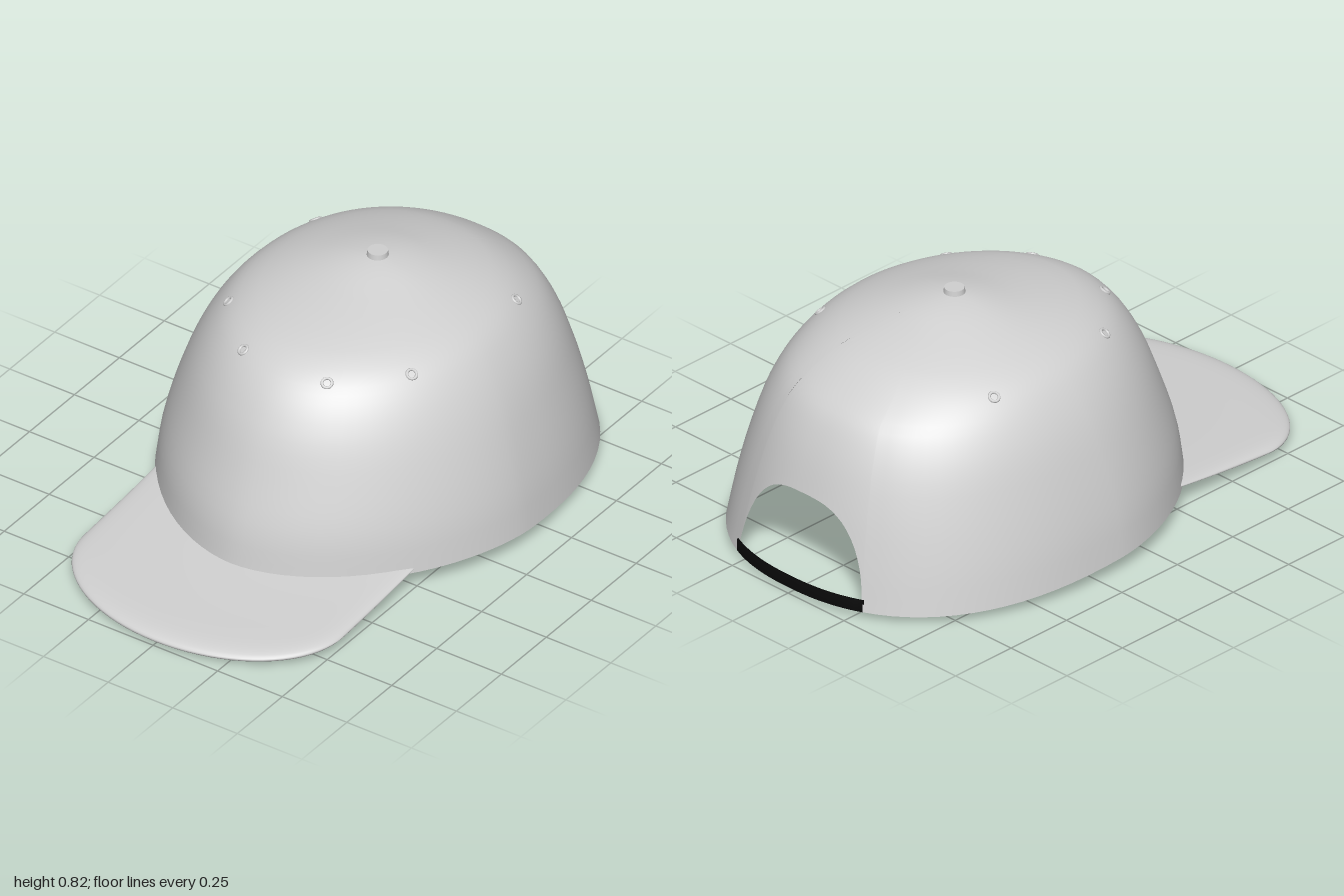
import * as THREE from 'three';
import { mergeVertices } from 'three/addons/utils/BufferGeometryUtils.js';

// Smooth surface from a function of two grid indices
function grid(nu, nv, point) {
  const pos = [], idx = [];
  for (let i = 0; i <= nu; i++) for (let j = 0; j <= nv; j++) pos.push(...point(i, j).toArray());
  for (let i = 0; i < nu; i++) for (let j = 0; j < nv; j++) {
    const a = i * (nv + 1) + j, b = a + nv + 1;
    idx.push(a, a + 1, b, b, a + 1, b + 1);
  }
  let g = new THREE.BufferGeometry();
  g.setAttribute('position', new THREE.Float32BufferAttribute(pos, 3));
  g.setIndex(idx);
  g = mergeVertices(g, 1e-5);
  g.computeVertexNormals();
  return g;
}

// Crown levels: height, half width, front z, back z, centre z
const levels = [
  [0.06, 0.66, 0.57, -1.0, -0.17],
  [0.2, 0.637, 0.545, -0.97, -0.17],
  [0.36, 0.595, 0.49, -0.93, -0.18],
  [0.5, 0.545, 0.435, -0.88, -0.2],
  [0.6, 0.49, 0.375, -0.82, -0.21],
  [0.67, 0.43, 0.305, -0.725, -0.22],
  [0.72, 0.345, 0.2, -0.63, -0.23],
  [0.775, 0.19, -0.06, -0.45, -0.25],
  [0.8, 0.09, -0.17, -0.35, -0.25],
  [0.812, 0, -0.25, -0.25, -0.25],
];
const curve = (a, b, c) => new THREE.CatmullRomCurve3(levels.map(l => new THREE.Vector3(l[a], l[b], l[c])));
const sideCurve = curve(0, 1, 4);
const endCurve = curve(0, 2, 3);

// Point on the crown: phi is the angle from the back, s runs from hem to apex
function crownPoint(phi, s) {
  const a = sideCurve.getPoint(s), e = endCurve.getPoint(s);
  const sn = Math.sin(phi), cs = -Math.cos(phi), front = cs > 0;
  const k = 2 / (front ? 1.8 + 0.2 * s : 2.3 - 0.3 * s);
  const x = a.y * Math.sign(sn) * Math.abs(sn) ** k;
  const z = a.z + Math.abs(cs) ** k * (front ? e.y - a.z : e.z - a.z);
  const hem = 0.03 + 0.04 * THREE.MathUtils.smoothstep(z, -0.95, 0.15);
  return new THREE.Vector3(x, a.x + (hem - 0.06) * (1 - s) ** 3, z);
}

// Half angle of the arched opening at the back
const OPEN = 0.374;

function crownGeometry() {
  const columns = [];
  for (let i = 0; i <= 72; i++) columns.push([OPEN + (i / 72) * (2 * Math.PI - 2 * OPEN), 0]);
  for (let i = 1; i <= 28; i++) {
    const u = Math.sin((i / 14 - 1) * Math.PI / 2);
    columns.push([2 * Math.PI + OPEN * u, (2 / 9) * Math.max(0, 1 - Math.abs(u) ** 2.5) ** 0.4]);
  }
  const rows = 30;
  return grid(columns.length - 1, rows, (i, j) => {
    const [phi, low] = columns[i];
    return crownPoint(phi, low + (1 - low) * j / rows);
  });
}

// Brim: a closed, slightly drooping slab with a rounded rim
function brimGeometry() {
  const nu = 40, nv = 18;
  return grid(nu, nv * 2, (i, j) => {
    const u = Math.sin((i / nu * 2 - 1) * Math.PI / 2), x = 0.5 * u;
    const v = Math.sin((1 - Math.abs(j - nv) / nv) * Math.PI / 2);
    const back = -0.18 + 0.74 * (1 - (Math.abs(x) / 0.66) ** 1.8) ** (1 / 1.8);
    const front = 0.66 + 0.335 * Math.sqrt(Math.max(0, 1 - u * u));
    const z = back + (front - back) * v;
    const t = (z - 0.26) / 0.74;
    const mid = 0.07 - 0.046 * t + 0.014 * (1 - v) ** 2;
    const round = Math.sqrt(Math.max(0, (1 - v ** 10) * (1 - Math.abs(u) ** 20)));
    const half = (0.008 + 0.016 * t) * round;
    return new THREE.Vector3(x, mid + (j < nv ? half : -half), z);
  });
}

// Strap: thin band following the hem across the opening
function strapGeometry() {
  const ring = [[0, 0], [0, 0.042], [0.006, 0.042], [0.006, 0], [0, 0]];
  return grid(24, 4, (i, j) => {
    const p = crownPoint((i / 12 - 1) * (OPEN + 0.01), 0);
    return new THREE.Vector3(p.x, p.y + ring[j][1], p.z + ring[j][0]);
  });
}

export function createModel() {
  const cloth = new THREE.MeshStandardMaterial({ color: 0xd0d0d0, side: THREE.DoubleSide });
  cloth.name = 'light grey cloth';
  const black = new THREE.MeshStandardMaterial({ color: 0x0a0a0a, side: THREE.DoubleSide });
  black.name = 'black strap';

  const cap = new THREE.Group();
  cap.name = 'cap';
  const add = (name, geometry, material) => {
    const mesh = new THREE.Mesh(geometry, material);
    mesh.name = name;
    cap.add(mesh);
    return mesh;
  };

  add('crown', crownGeometry(), cloth);
  add('brim', brimGeometry(), cloth);
  add('backStrap', strapGeometry(), black);

  // Button on the apex
  add('topButton', new THREE.CylinderGeometry(0.033, 0.036, 0.022, 20), cloth).position.set(0, 0.814, -0.25);

  // Stitched eyelets, three on each side
  const s = 4.95 / 9;
  for (const side of [1, -1]) for (const phi of [1.1, 2.17, 2.74]) {
    const p = crownPoint(side * phi, s);
    const du = crownPoint(side * phi + 0.02, s).sub(p);
    const dv = crownPoint(side * phi, s + 0.01).sub(p);
    const normal = dv.cross(du).normalize();
    if (normal.y < 0) normal.negate();
    const eyelet = add('eyelet', new THREE.TorusGeometry(0.016, 0.005, 8, 18), cloth);
    eyelet.position.copy(p);
    eyelet.quaternion.setFromUnitVectors(new THREE.Vector3(0, 0, 1), normal);
  }
  return cap;
}
